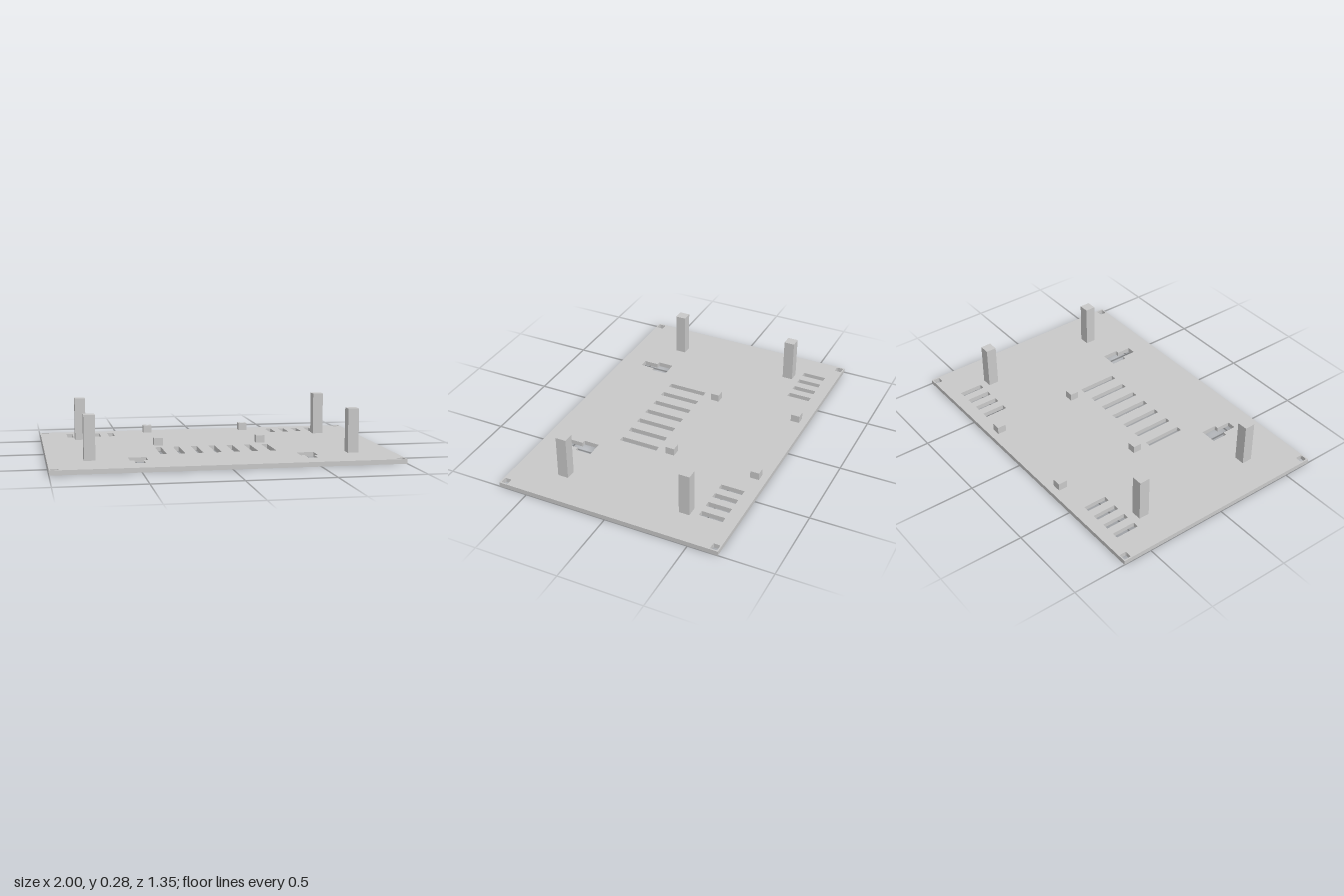
import * as THREE from 'three';

const T = 0.027; // plate thickness

// Path from [x, z] points; the outline lies in the ground plane
function trace(path, pts) {
  pts.forEach(([x, z], i) => (i ? path.lineTo(x, -z) : path.moveTo(x, -z)));
  path.closePath();
  return path;
}

// Rectangle with clipped corners, centred on (x, z)
function rect(x, z, w, d, c) {
  const a = w / 2, b = d / 2;
  return [[x - a + c, z - b], [x + a - c, z - b], [x + a, z - b + c], [x + a, z + b - c],
    [x + a - c, z + b], [x - a + c, z + b], [x - a, z + b - c], [x - a, z - b + c]];
}

// Wide opening with a narrow neck toward the front
function keyhole(x) {
  const a = 0.051, n = 0.027;
  return [[x - a, 0.35], [x + a, 0.35], [x + a, 0.444], [x + a - 0.004, 0.448], [x + n, 0.448],
    [x + n, 0.535], [x - n, 0.535], [x - n, 0.448], [x - a + 0.004, 0.448], [x - a, 0.444]];
}

// Extrude a ground-plane shape upward from y
function slab(shape, y, height) {
  return new THREE.ExtrudeGeometry(shape, { depth: height, bevelEnabled: false })
    .rotateX(-Math.PI / 2).translate(0, y, 0);
}

export function createModel() {
  const model = new THREE.Group();
  model.name = 'mountingPlate';
  const grey = new THREE.MeshStandardMaterial({ color: 0xc8c8c8 });
  grey.name = 'light grey plastic';
  const add = (name, geometry) => {
    const mesh = new THREE.Mesh(geometry, grey);
    mesh.name = name;
    model.add(mesh);
  };

  // Base plate with all its openings
  const plate = trace(new THREE.Shape(), [[-1, 0.677], [1, 0.677], [1, -0.677], [-1, -0.677]]);
  const cut = (pts) => plate.holes.push(trace(new THREE.Path(), pts));
  for (const s of [-1, 1]) {
    for (const z of [-0.649, 0.649]) cut(rect(s * 0.97, z, 0.043, 0.041, 0.004)); // screw holes
    cut(keyhole(s * 0.491));
  }
  for (let i = 0; i < 4; i++) { // rear vents
    cut(rect(-0.818 + i * 0.087, -0.53, 0.037, 0.142, 0.002));
    cut(rect(0.49 + i * 0.087, -0.53, 0.037, 0.142, 0.002));
  }
  for (let i = -3; i <= 3; i++) cut(rect(i * 0.1085 - 0.001, 0.14, 0.037, 0.242, 0.002)); // middle vents
  add('basePlate', slab(plate, 0, T));

  for (const s of [-1, 1]) {
    // Tall corner posts
    for (const z of [-0.382, 0.382]) {
      add('post', new THREE.BoxGeometry(0.064, 0.285 - T, 0.064).translate(s * 0.763, (0.285 + T) / 2, z));
    }
    // Short standoffs with a blind screw hole
    for (const z of [-0.606, -0.07]) {
      const block = trace(new THREE.Shape(), rect(s * 0.315, z, 0.053, 0.054, 0));
      block.holes.push(trace(new THREE.Path(), rect(s * 0.315, z, 0.024, 0.024, 0.004)));
      add('standoff', slab(block, T, 0.072 - T));
    }
  }
  return model;
}
